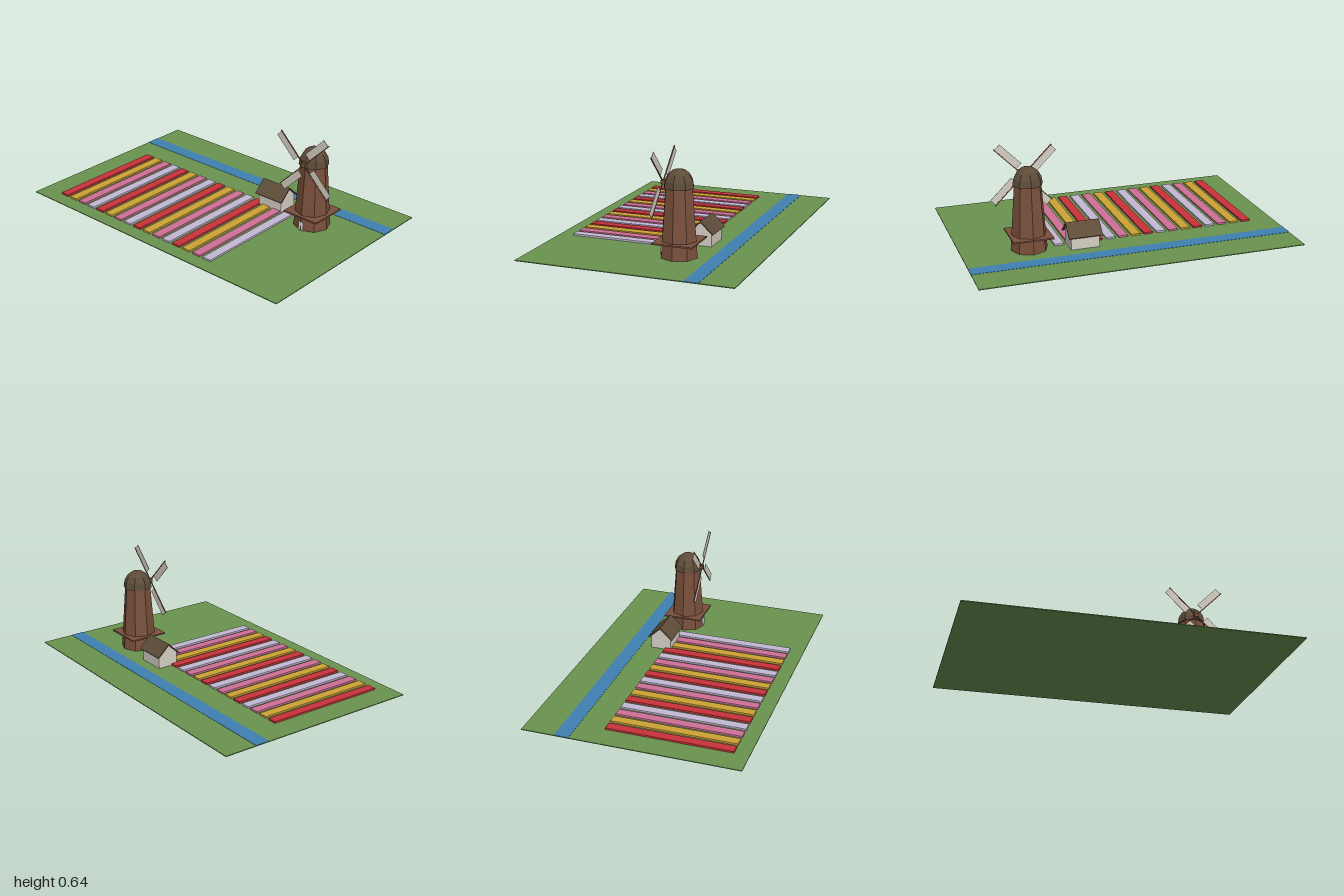
import * as THREE from 'three';

const mat = (name, color, extra = {}) => {
  const m = new THREE.MeshStandardMaterial({ color, ...extra });
  m.name = name;
  return m;
};

export function createModel() {
  const grass = mat('grass', 0x6a9350), water = mat('water', 0x3f80b0);
  const red = mat('red', 0xc8323a), yellow = mat('yellow', 0xcda234);
  const pink = mat('pink', 0xcf7096), lilac = mat('lilac', 0xc4b8d4);
  const wood = mat('wood', 0x7a503c, { flatShading: true });
  const roofing = mat('roofing', 0x5e4c39, { flatShading: true });
  const plaster = mat('plaster', 0xd6d0c4), door = mat('doorPaint', 0xe4e0d8);

  const model = new THREE.Group();
  model.name = 'windmillField';
  const add = (parent, name, geo, material, x = 0, y = 0, z = 0) => {
    const mesh = new THREE.Mesh(geo, material);
    mesh.name = name;
    mesh.position.set(x, y, z);
    parent.add(mesh);
    return mesh;
  };
  const box = (w, h, d) => new THREE.BoxGeometry(w, h, d);

  // Ground and canal
  add(model, 'ground', box(2, 0.005, 1.32), grass, 0, 0.0025, 0);
  add(model, 'canal', box(2, 0.003, 0.09), water, 0, 0.005, -0.41);

  // Flower beds
  const blooms = [red, yellow, pink, lilac];
  for (let i = 0; i < 16; i++) {
    add(model, 'flowerBed', box(0.058, 0.012, 0.772), blooms[i % 4], -0.82 + i * 0.0818, 0.01, 0.184);
  }

  // Cottage: gabled walls with two roof slabs
  const house = new THREE.Group();
  house.name = 'cottage';
  house.position.set(0.27, 0, -0.23);
  model.add(house);
  const gable = new THREE.Shape([[-0.065, 0], [0.065, 0], [0.065, 0.09], [0, 0.15], [-0.065, 0.09]]
    .map(([x, y]) => new THREE.Vector2(x, y)));
  const walls = new THREE.ExtrudeGeometry(gable, { depth: 0.178, bevelEnabled: false });
  walls.translate(0, 0, -0.089).rotateY(Math.PI / 2);
  add(house, 'walls', walls, plaster);
  const pitch = Math.atan2(0.075, 0.08);
  for (const s of [-1, 1]) {
    const slab = add(house, 'roofSlab', box(0.21, 0.007, 0.11), roofing, 0, 0.119, s * 0.039);
    slab.rotation.x = s * pitch;
  }

  // Windmill
  const mill = new THREE.Group();
  mill.name = 'windmill';
  mill.position.set(0.588, 0, -0.182);
  model.add(mill);
  add(mill, 'tower', new THREE.CylinderGeometry(0.083, 0.113, 0.407, 8), wood, 0, 0.2075, 0);
  add(mill, 'gallery', box(0.247, 0.009, 0.247), wood, 0, 0.098, 0);
  add(mill, 'door', box(0.034, 0.055, 0.02), door, 0, 0.0325, 0.1);

  // Faceted domed cap, closed underneath
  const profile = [new THREE.Vector2(0, 0)];
  for (let i = 0; i <= 4; i++) {
    const a = (i / 4) * Math.PI / 2;
    profile.push(new THREE.Vector2(i === 4 ? 0 : 0.092 * Math.cos(a), 0.11 * Math.sin(a)));
  }
  add(mill, 'cap', new THREE.LatheGeometry(profile, 8), roofing, 0, 0.411, 0);

  // Sails: four spars, each with a cloth panel along one side
  const sails = new THREE.Group();
  sails.name = 'sails';
  sails.position.set(0, 0.435, 0.098);
  model.getObjectByName('windmill').add(sails);
  add(sails, 'hub', box(0.025, 0.025, 0.03), wood, 0, 0, -0.006);
  for (let i = 0; i < 4; i++) {
    const sail = new THREE.Group();
    sail.name = 'sail';
    sail.rotation.z = Math.PI / 4 + i * Math.PI / 2;
    add(sail, 'spar', box(0.248, 0.006, 0.006), wood, 0.124, 0, 0);
    add(sail, 'cloth', box(0.182, 0.044, 0.003), plaster, 0.151, 0.024, 0);
    sails.add(sail);
  }
  return model;
}
